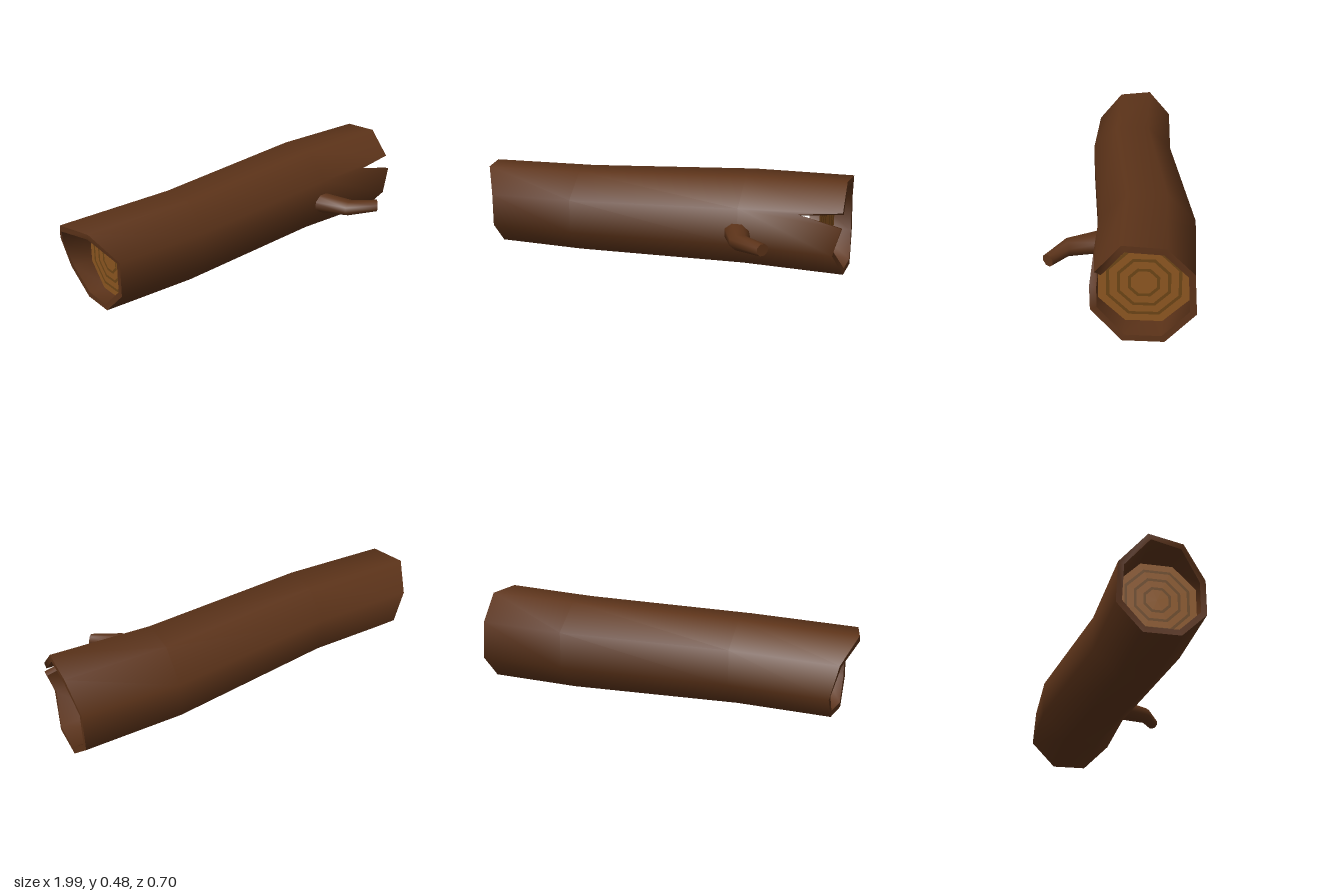
import * as THREE from 'three';
import { mergeVertices, mergeGeometries } from 'three/addons/utils/BufferGeometryUtils.js';

const bark = new THREE.MeshStandardMaterial({ color: 0x5c3319 });
const wood = new THREE.MeshStandardMaterial({ color: 0x8b5520 });
const ringWood = new THREE.MeshStandardMaterial({ color: 0x6b4416 });

const V = (x, y, z) => new THREE.Vector3(x, y, z);

// Skin a list of closed loops; normals are smooth within one call
function loft(loops) {
  const pos = [];
  const tri = (a, b, c) => {
    if (a.equals(b) || b.equals(c) || c.equals(a)) return;
    for (const p of [a, b, c]) pos.push(p.x, p.y, p.z);
  };
  for (let i = 0; i + 1 < loops.length; i++) {
    const p = loops[i], q = loops[i + 1], n = p.length;
    for (let j = 0; j < n; j++) {
      const k = (j + 1) % n;
      tri(p[j], q[j], p[k]);
      tri(p[k], q[j], q[k]);
    }
  }
  let g = new THREE.BufferGeometry();
  g.setAttribute('position', new THREE.Float32BufferAttribute(pos, 3));
  g = mergeVertices(g);
  g.computeVertexNormals();
  return g;
}

// The upper front corner is tripled so that it can open into a split
const tripled = (loop) => [...loop, loop[7], loop[7]];

// Octagonal trunk section, starting at the top front corner
function section(x, cy, cz, apothem) {
  const r = apothem / Math.cos(Math.PI / 8);
  return tripled(Array.from({ length: 8 }, (_, j) => {
    const a = Math.PI / 8 - j * Math.PI / 4;
    return V(x, cy + r * Math.cos(a), cz + r * Math.sin(a));
  }));
}

// Shrink a loop towards the trunk axis to get the inside of the bark
const inset = (loop, cy, cz, x) => loop.map((p) =>
  V(x ?? p.x, cy + (p.y - cy) * 0.87, cz + (p.z - cz) * 0.87));

// Cut wood with growth rings, facing along dir
function cutFace(name, x, cy, cz, scale, dir) {
  const face = new THREE.Group();
  face.name = name;
  const add = (geo, mat, label, lift) => {
    const m = new THREE.Mesh(geo.rotateZ(Math.PI / 8), mat);
    m.position.z = lift;
    m.name = label;
    face.add(m);
  };
  const k = scale / Math.cos(Math.PI / 8);
  add(new THREE.CircleGeometry(0.205 * k, 8), wood, 'heartwood', 0);
  for (const r of [0.165, 0.118, 0.07]) {
    add(new THREE.RingGeometry((r - 0.014) * k, r * k, 8), ringWood, 'growthRing', 0.002);
  }
  face.position.set(x, cy, cz);
  face.rotation.y = dir * Math.PI / 2;
  return face;
}

export function createModel() {
  const log = new THREE.Group();
  log.name = 'fallenLog';
  const add = (name, geo) => {
    const m = new THREE.Mesh(geo, bark);
    m.name = name;
    log.add(m);
  };

  // Ragged end outlines
  const leftX = [-0.95, -1, -0.945, -0.9, -0.88, -0.88, -0.865, -0.865];
  const leftEnd = section(0, 0.207, -0.011, 0.207).slice(0, 8);
  leftEnd.forEach((p, j) => { p.x = leftX[j]; });
  const left = tripled(leftEnd);
  const right = [
    V(0.985, 0.483, -0.03), V(0.985, 0.472, -0.22), V(0.965, 0.337, -0.342),
    V(0.97, 0.142, -0.354), V(0.99, 0.008, -0.217), V(0.99, 0.01, -0.03),
    V(0.955, 0.145, 0.108),
    V(0.99, 0.285, 0.106), V(0.78, 0.333, 0.103), V(0.99, 0.355, 0.083), // split
  ];

  // Outer bark with its gentle bend
  add('bark', loft([
    left,
    section(-0.4, 0.218, -0.015, 0.213),
    section(0.48, 0.235, -0.124, 0.228),
    right,
  ]));

  // Bark thickness and inner walls at both ends
  const leftIn = inset(left, 0.207, -0.011);
  const rightIn = inset(right, 0.241, -0.123);
  const leftDeep = inset(section(0, 0.207, -0.011, 0.207), 0.207, -0.011, -0.77);
  const rightDeep = inset(section(0, 0.241, -0.123, 0.231), 0.241, -0.123, 0.75);
  add('leftRim', loft([leftIn, left]));
  add('leftInnerWall', loft([leftDeep, leftIn]));
  add('rightRim', loft([right, rightIn]));
  add('rightInnerWall', loft([rightIn, rightDeep]));

  log.add(cutFace('leftCutFace', -0.8, 0.207, -0.011, 0.9, -1));
  log.add(cutFace('rightCutFace', 0.88, 0.24, -0.123, 1, 1));

  // Bent branch stub: centre, sideways half width (x, z), half height
  const stub = [
    [V(0.455, 0.202, 0.05), 0.072, 0, 0.057],
    [V(0.54, 0.205, 0.25), 0.052, -0.015, 0.041],
    [V(0.67, 0.209, 0.326), 0.021, -0.026, 0.031],
  ].map(([c, dx, dz, h]) => Array.from({ length: 8 }, (_, j) => {
    const a = Math.PI / 8 - j * Math.PI / 4;
    const s = -Math.sin(a), t = Math.cos(a);
    return V(c.x - dx * s, c.y + h * t, c.z - dz * s);
  }).reverse());
  const tip = stub[2];
  const centre = V(0.67, 0.209, 0.326);
  add('branch', mergeGeometries([loft(stub), loft([tip, tip.map(() => centre)])]));

  return log;
}
